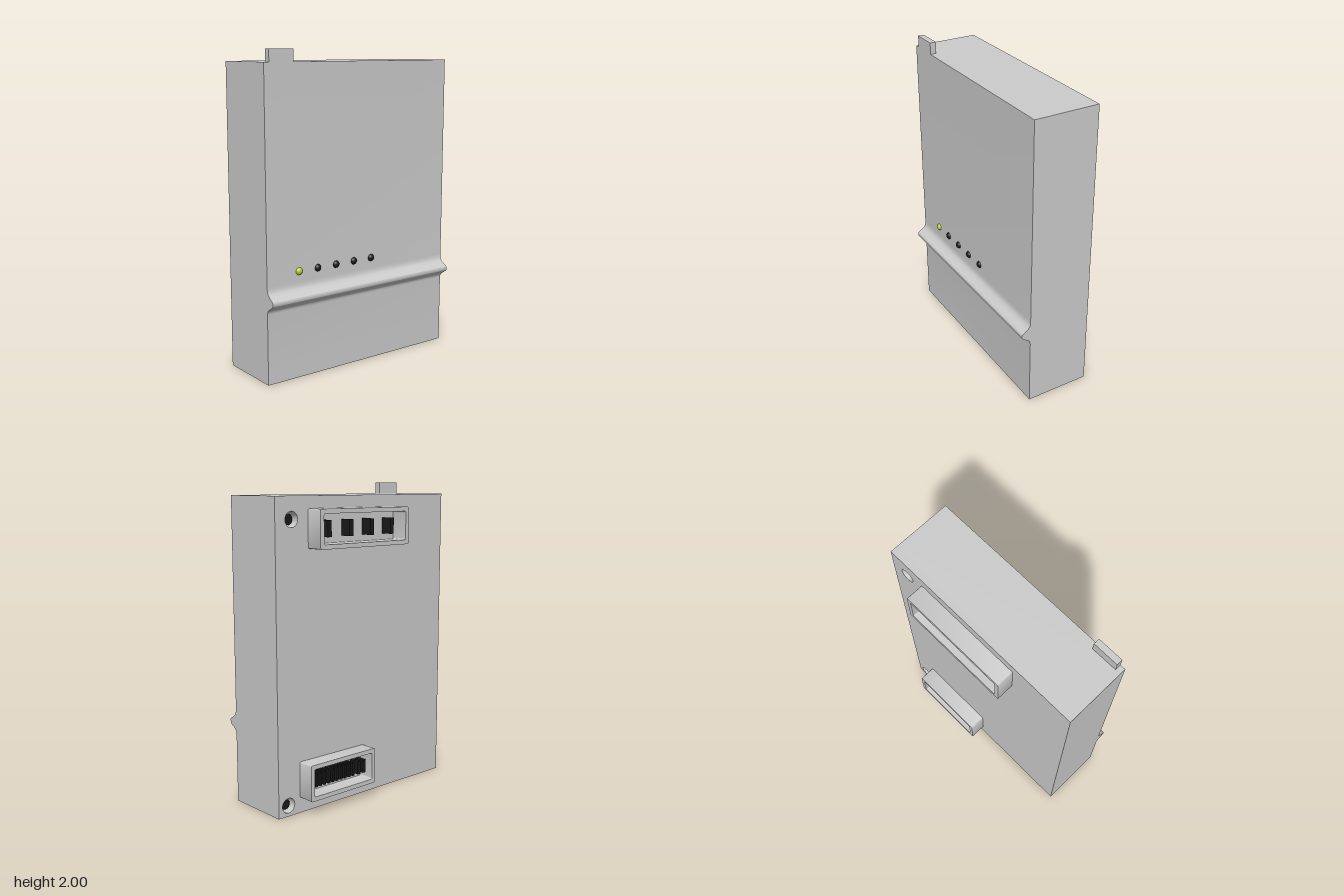
import * as THREE from 'three';
import { toCreasedNormals } from 'three/addons/utils/BufferGeometryUtils.js';

const W = 1.41, H = 1.925, BACK = -0.185, FRONT = 0.24, RECESS = -0.125;

const grey = new THREE.MeshStandardMaterial({ color: 0xcccccc });
const black = new THREE.MeshStandardMaterial({ color: 0x1a1a1a });
const lime = new THREE.MeshStandardMaterial({ color: 0xb8d42a });

function add(parent, name, geometry, material, x = 0, y = 0, z = 0) {
  const mesh = new THREE.Mesh(geometry, material);
  mesh.name = name;
  mesh.position.set(x, y, z);
  parent.add(mesh);
  return mesh;
}

// Rounded rectangle centred on the origin
function roundRect(target, w, h, r) {
  const x = w / 2, y = h / 2;
  target.moveTo(-x + r, -y);
  target.lineTo(x - r, -y);
  target.quadraticCurveTo(x, -y, x, -y + r);
  target.lineTo(x, y - r);
  target.quadraticCurveTo(x, y, x - r, y);
  target.lineTo(-x + r, y);
  target.quadraticCurveTo(-x, y, -x, y - r);
  target.lineTo(-x, -y + r);
  target.quadraticCurveTo(-x, -y, -x + r, -y);
  return target;
}

// Side profile (z across, y up) with the finger ridge, swept along x
function casingGeometry() {
  const s = new THREE.Shape();
  s.moveTo(RECESS, 0);
  s.lineTo(FRONT, 0);
  s.lineTo(FRONT, 0.44);
  s.bezierCurveTo(FRONT, 0.475, 0.265, 0.475, 0.295, 0.5);
  s.quadraticCurveTo(0.301, 0.505, 0.301, 0.51);
  s.lineTo(0.301, 0.525);
  s.quadraticCurveTo(0.301, 0.53, 0.295, 0.534);
  s.bezierCurveTo(0.265, 0.555, FRONT, 0.56, FRONT, 0.61);
  s.lineTo(FRONT, H);
  s.lineTo(RECESS, H);
  s.closePath();
  const g = new THREE.ExtrudeGeometry(s, { depth: W, bevelEnabled: false, curveSegments: 10 });
  g.rotateY(-Math.PI / 2).translate(W / 2, 0, 0);
  return toCreasedNormals(g, 0.6);
}

// Back panel pierced by the screw recesses
function backPanelGeometry(screws, radius) {
  const s = new THREE.Shape();
  s.moveTo(-W / 2, 0);
  s.lineTo(W / 2, 0);
  s.lineTo(W / 2, H);
  s.lineTo(-W / 2, H);
  s.closePath();
  for (const [x, y] of screws) {
    s.holes.push(new THREE.Path().absarc(x, y, radius, 0, Math.PI * 2, true));
  }
  const g = new THREE.ExtrudeGeometry(s, { depth: RECESS - BACK, bevelEnabled: false, curveSegments: 24 });
  return toCreasedNormals(g.translate(0, 0, BACK), 0.6);
}

// Open shroud with contact blades; pins lists [x, width]
function connector(name, x0, x1, y0, y1, depth, pins, pinHeight) {
  const group = new THREE.Group();
  group.name = name;
  const w = x1 - x0, h = y1 - y0, cx = (x0 + x1) / 2, cy = (y0 + y1) / 2;
  const s = roundRect(new THREE.Shape(), w, h, 0.014);
  s.holes.push(roundRect(new THREE.Path(), w - 0.056, h - 0.056, 0.01));
  const shell = new THREE.ExtrudeGeometry(s, { depth, bevelEnabled: false, curveSegments: 4 });
  add(group, 'shroud', toCreasedNormals(shell, 0.6), grey, cx, cy, BACK - depth);
  for (const [x, width] of pins) {
    add(group, 'contactPin', new THREE.BoxGeometry(width, pinHeight, 0.075), black, x, cy, BACK - 0.0375);
  }
  return group;
}

export function createModel() {
  const model = new THREE.Group();
  model.name = 'plugInModule';

  const screws = [[0.585, 1.79], [0.63, 0.068]];
  add(model, 'casing', casingGeometry(), grey);
  add(model, 'backPanel', backPanelGeometry(screws, 0.047), grey);

  // Locating tab on the top edge
  add(model, 'topTab', new THREE.BoxGeometry(0.17, 0.085, 0.04), grey, -0.585, 1.9575, 0.22);

  // Row of indicator lights, the first one lit
  for (let i = 0; i < 5; i++) {
    add(model, 'indicatorLight', new THREE.SphereGeometry(0.024, 24, 16), i ? black : lime,
      -0.475 + i * 0.14, 0.675, 0.234);
  }

  // Sunken screws
  for (const [x, y] of screws) {
    const head = new THREE.CylinderGeometry(0.033, 0.033, 0.03, 24).rotateX(Math.PI / 2);
    add(model, 'screw', head, black, x, y, RECESS - 0.012);
  }

  // Power connector: four wide-spaced blades
  const blades = [];
  for (let i = 0; i < 4; i++) blades.push([0.357 - i * 0.173, 0.03]);
  model.add(connector('powerConnector', -0.275, 0.46, 1.615, 1.85, 0.112, blades, 0.1));

  // Signal connector: ten fine pins and two thicker ones
  const fine = [];
  for (let i = 0; i < 10; i++) fine.push([0.47 - i * 0.034, 0.018]);
  fine.push([0.115, 0.024], [0.07, 0.024]);
  model.add(connector('signalConnector', 0.005, 0.54, 0.095, 0.325, 0.108, fine, 0.085));

  return model;
}
